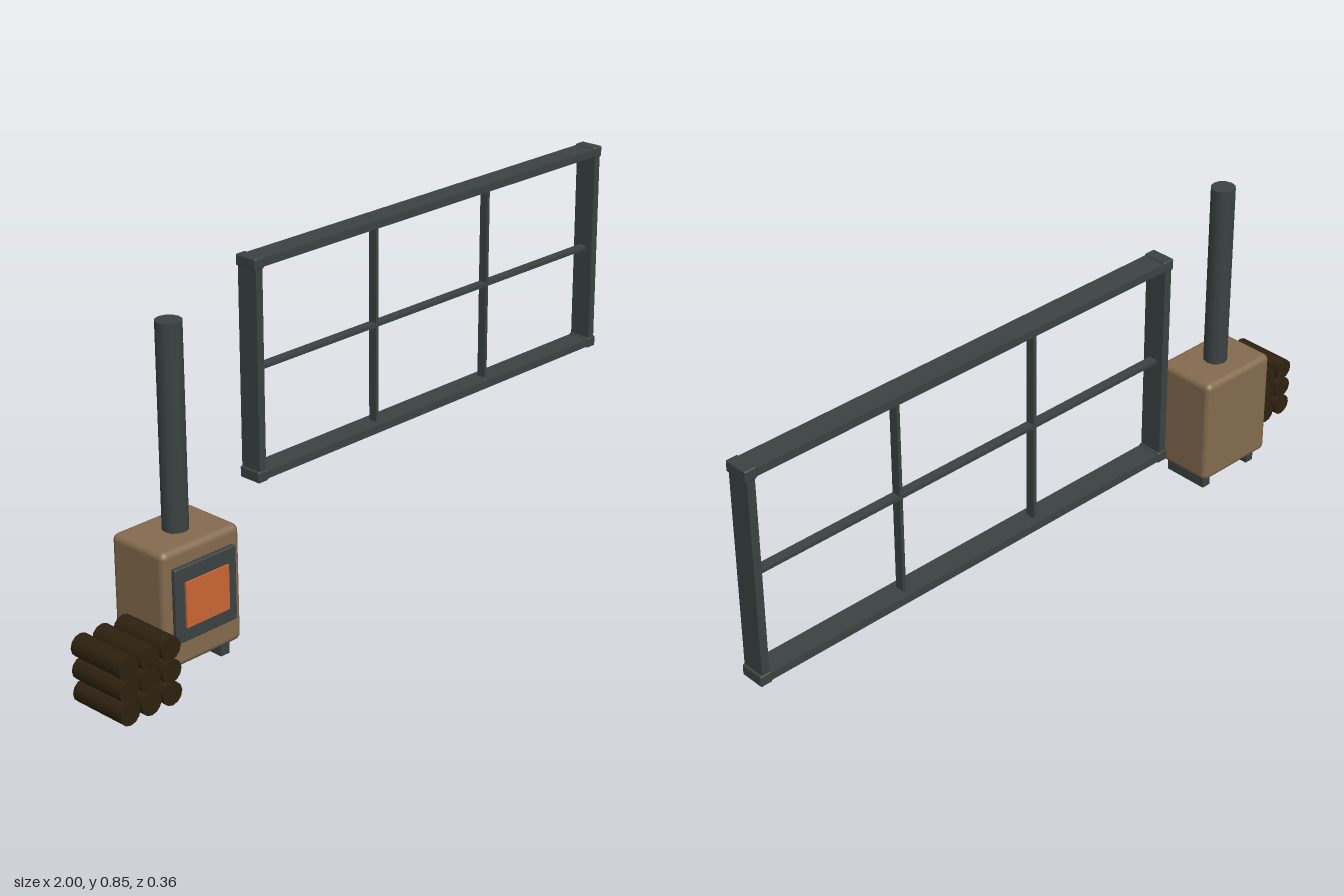
import * as THREE from 'three';
import { RoundedBoxGeometry } from 'three/addons/geometries/RoundedBoxGeometry.js';

function material(name, color) {
  const m = new THREE.MeshStandardMaterial({ color });
  m.name = name;
  return m;
}

export function createModel() {
  const iron = material('dark iron', 0x3c4343);
  const enamel = material('brown enamel', 0x846b4e);
  const glow = material('ember orange', 0xcb6633);
  const bark = material('dark bark', 0x2e2210);

  const model = new THREE.Group();
  model.name = 'stoveAndWindow';

  function add(parent, name, geometry, mat, x, y, z) {
    const mesh = new THREE.Mesh(geometry, mat);
    mesh.name = name;
    mesh.position.set(x, y, z);
    parent.add(mesh);
    return mesh;
  }
  const box = (w, h, d) => new THREE.BoxGeometry(w, h, d);
  const rounded = (w, h, d, r) => new RoundedBoxGeometry(w, h, d, 3, r);
  function group(name) {
    const g = new THREE.Group();
    g.name = name;
    model.add(g);
    return g;
  }

  // Stove: rounded body, door with glowing pane, flue pipe and two runners
  const stove = group('stove');
  stove.position.set(-0.667, 0, 0.004);
  add(stove, 'stoveBody', rounded(0.238, 0.297, 0.175, 0.017), enamel, 0, 0.1855, 0);
  add(stove, 'stoveDoor', rounded(0.188, 0.188, 0.014, 0.004), iron, 0, 0.198, 0.092);
  add(stove, 'stovePane', box(0.132, 0.113, 0.006), glow, 0, 0.197, 0.1012);
  add(stove, 'fluePipe', new THREE.CylinderGeometry(0.0318, 0.0318, 0.508, 12), iron, 0, 0.584, 0);
  for (const side of [-1, 1]) {
    add(stove, 'stoveFoot', box(0.026, 0.042, 0.127), iron, side * 0.085, 0.021, 0);
  }

  // Log stack: three by three, lying front to back
  const logs = group('logStack');
  const logGeometry = new THREE.CylinderGeometry(0.0285, 0.0285, 0.16, 12);
  logGeometry.rotateX(Math.PI / 2);
  for (let row = 0; row < 3; row++) {
    for (let col = 0; col < 3; col++) {
      add(logs, 'log', logGeometry, bark, -0.971 + col * 0.062, 0.046 + row * 0.0567, 0.1);
    }
  }

  // Window frame: posts, rails, corner blocks and thin glazing bars
  const frame = group('windowFrame');
  frame.position.set(0.355, 0.5685, -0.147);
  for (const sx of [-1, 1]) {
    add(frame, 'framePost', box(0.021, 0.545, 0.061), iron, sx * 0.629, 0, 0);
    for (const sy of [-1, 1]) {
      add(frame, 'cornerBlock', rounded(0.032, 0.029, 0.066, 0.004), iron, sx * 0.629, sy * 0.271, 0);
    }
    add(frame, 'verticalBar', box(0.009, 0.53, 0.024), iron, sx * 0.208, 0, 0);
  }
  for (const sy of [-1, 1]) {
    add(frame, 'frameRail', box(1.26, 0.021, 0.062), iron, 0, sy * 0.271, 0);
  }
  add(frame, 'horizontalBar', box(1.25, 0.01, 0.024), iron, 0, 0, 0);

  return model;
}
